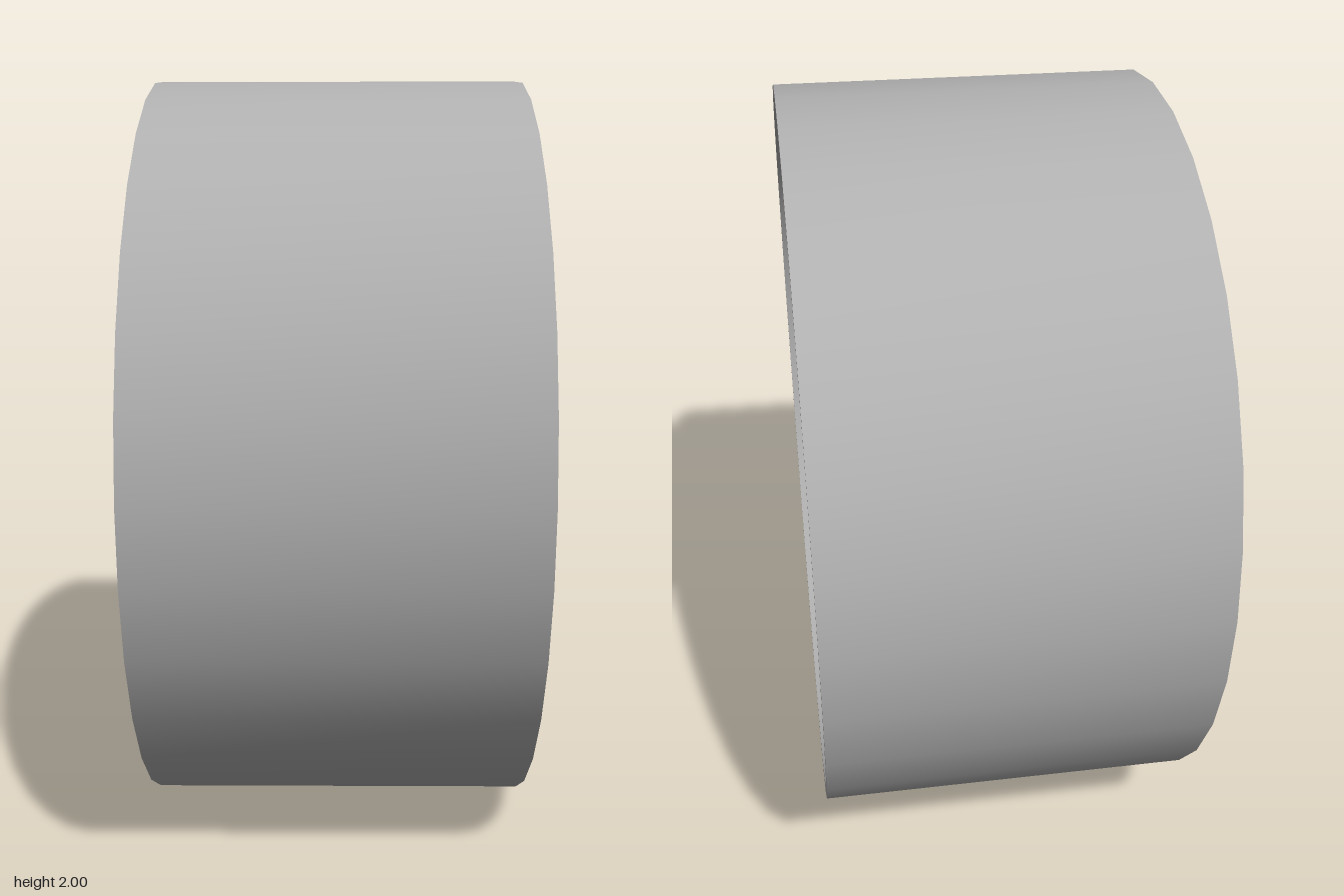
import * as THREE from 'three';
import { toCreasedNormals } from 'three/addons/utils/BufferGeometryUtils.js';

const grey = new THREE.MeshStandardMaterial({ color: 0xb0b0b0 });
grey.name = 'wheelGrey';

function part(name, geometry, crease = 0.6) {
  const flat = geometry.index ? geometry.toNonIndexed() : geometry;
  const mesh = new THREE.Mesh(toCreasedNormals(flat, crease), grey);
  mesh.name = name;
  return mesh;
}

// Revolve [radius, x] points around the wheel's axle (the x axis)
function turned(name, points, sides = 32, crease = 0.6) {
  const profile = points.map(([r, x]) => new THREE.Vector2(r, x));
  return part(name, new THREE.LatheGeometry(profile, sides).rotateZ(-Math.PI / 2), crease);
}

// Outline of the hub with five forked spokes
function spokeOutline() {
  const half = [[-0.11, 0.225], [-0.088, 0.255], [-0.095, 0.3]];
  const leg = (a, b, n) => {
    for (let i = 1; i <= n; i++) {
      half.push([a[0] + (b[0] - a[0]) * i / n, a[1] + (b[1] - a[1]) * i / n]);
    }
  };
  leg([-0.095, 0.3], [-0.2, 0.905], 6);
  half.push([-0.105, 0.92]);
  leg([-0.105, 0.92], [-0.02, 0.545], 4);
  half.push([-0.012, 0.526]);
  const mirrored = half.map(([x, y]) => [-x, y]).reverse();
  const spoke = [[-0.147, 0.202], ...half, [0, 0.52], ...mirrored];

  const outline = [];
  for (let k = 0; k < 5; k++) {
    for (const [x, y] of spoke) {
      outline.push(new THREE.Vector2(x, y).rotateAround(new THREE.Vector2(), -k * Math.PI * 0.4));
    }
  }
  return new THREE.Shape(outline);
}

function circleHole(shape, x, y, r) {
  shape.holes.push(new THREE.Path().absarc(x, y, r, 0, Math.PI * 2, true));
}

// Extruded spokes, arched in depth according to the radius
function makeSpokes() {
  const shape = spokeOutline();
  circleHole(shape, 0, 0, 0.19);
  const geometry = new THREE.ExtrudeGeometry(shape, {
    depth: 0.6, bevelThickness: 0.2, bevelSize: 0.018, bevelOffset: -0.018,
    bevelSegments: 4, curveSegments: 16,
  });
  const p = geometry.attributes.position;
  for (let i = 0; i < p.count; i++) {
    const s = THREE.MathUtils.clamp((Math.hypot(p.getX(i), p.getY(i)) - 0.2) / 0.72, 0, 1);
    const front = 0.31 + 0.04 * s + 0.04 * Math.sin(Math.PI * s);
    const back = 0.15 + 0.11 * s;
    p.setZ(i, THREE.MathUtils.lerp(back, front, p.getZ(i) + 0.2));
  }
  return part('spokes', geometry.rotateY(Math.PI / 2), 0.75);
}

// Hub floor pierced by five bolt holes
function makeHubFloor() {
  const shape = new THREE.Shape().absarc(0, 0, 0.2, 0, Math.PI * 2, false);
  for (let k = 0; k < 5; k++) {
    const a = Math.PI / 2 + k * Math.PI * 0.4;
    circleHole(shape, 0.145 * Math.cos(a), 0.145 * Math.sin(a), 0.034);
  }
  const geometry = new THREE.ExtrudeGeometry(shape, { depth: 0.08, bevelEnabled: false, curveSegments: 10 });
  return part('hubFloor', geometry.translate(0, 0, 0.175).rotateY(Math.PI / 2));
}

export function createModel() {
  const wheel = new THREE.Group();
  wheel.name = 'wheel';

  // Barrel with a sloped front lip and a ledge behind the spokes
  wheel.add(turned('rim', [
    [1, -0.49], [1, 0.49], [0.965, 0.49], [0.93, 0.345],
    [0.885, 0.345], [0.885, -0.49], [1, -0.49],
  ], 32, 0.5));

  // Spokes and hub
  wheel.add(makeSpokes(), makeHubFloor());
  wheel.add(turned('hubDish', [[0.208, 0.305], [0.19, 0.28], [0.182, 0.262], [0.176, 0.255]], 32, 1));
  wheel.add(turned('centreCap', [
    [0.095, 0.24], [0.095, 0.27], [0.088, 0.3], [0.07, 0.322], [0.04, 0.337], [0, 0.342],
  ], 24, 0.8));

  // Bolts seated in the holes
  for (let k = 0; k < 5; k++) {
    const a = Math.PI / 2 + k * Math.PI * 0.4;
    const bolt = part('bolt', new THREE.CylinderGeometry(0.024, 0.024, 0.05, 6).rotateZ(-Math.PI / 2));
    bolt.position.set(0.215, 0.145 * Math.sin(a), 0.145 * Math.cos(a));
    wheel.add(bolt);
  }

  // Brake disc, its tapered hat and the axle stub
  wheel.add(turned('brakeDisc', [[0, -0.115], [0.72, -0.115], [0.72, -0.075], [0, -0.075]]));
  wheel.add(turned('discHat', [[0.36, -0.08], [0.36, -0.03], [0.325, 0.04], [0, 0.04]], 10, 0.3));
  wheel.add(turned('axleStub', [[0.17, 0.03], [0.17, 0.19], [0, 0.19]], 24));

  wheel.position.y = 1;
  const model = new THREE.Group();
  model.name = 'alloyWheel';
  model.add(wheel);
  return model;
}
